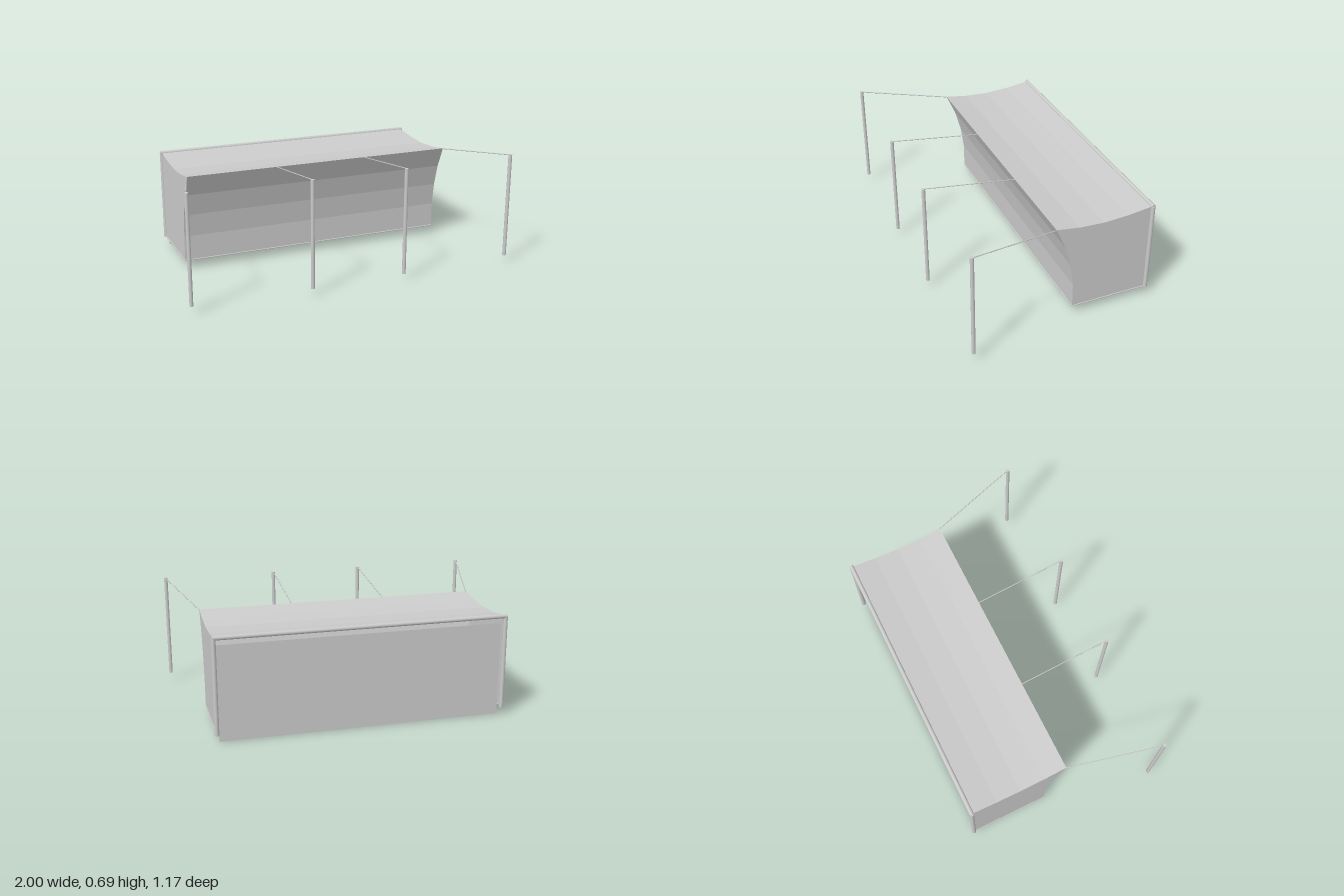
import * as THREE from 'three';

const smooth = new THREE.MeshStandardMaterial({ color: 0xcccccc });
const cloth = new THREE.MeshStandardMaterial({ color: 0xcccccc, flatShading: true, side: THREE.DoubleSide });

const HALF = 0.845;    // half width of the goal
const BACK = -0.574;   // plane of the posts
const BASE = 0.048;    // foot of posts and net

// Net outline as [z, y]
const roof = [[BACK, 0.61], [-0.42, 0.59], [-0.27, 0.581], [-0.12, 0.589], [0.02, 0.61]];
const drop = [[0.02, 0.61], [-0.038, 0.48], [-0.076, 0.345], [-0.096, 0.205], [-0.098, BASE]];

export function createModel() {
  const group = new THREE.Group();

  const add = (name, geometry, material) => {
    const mesh = new THREE.Mesh(geometry, material);
    mesh.name = name;
    group.add(mesh);
    return mesh;
  };

  // Round bar between two points
  const bar = (name, from, to, radius, sides = 12) => {
    const a = new THREE.Vector3(...from), b = new THREE.Vector3(...to);
    const dir = b.clone().sub(a);
    const mesh = add(name, new THREE.CylinderGeometry(radius, radius, dir.length(), sides), smooth);
    mesh.position.copy(a).add(b).multiplyScalar(0.5);
    mesh.quaternion.setFromUnitVectors(new THREE.Vector3(0, 1, 0), dir.normalize());
    return mesh;
  };

  // Sheet swept across the width along a profile
  const sheet = (name, profile) => {
    const geometry = new THREE.PlaneGeometry(1, 1, 1, profile.length - 1);
    const pos = geometry.attributes.position;
    profile.forEach(([z, y], i) => {
      pos.setXYZ(i * 2, -HALF, y, z);
      pos.setXYZ(i * 2 + 1, HALF, y, z);
    });
    geometry.computeVertexNormals();
    add(name, geometry, cloth);
  };

  // Net roof and hanging net
  sheet('netRoof', roof);
  sheet('netDrop', drop);

  // Net sides, closed by the same outline
  const outline = [...roof, ...drop.slice(1), [BACK, BASE]];
  const sideShape = new THREE.Shape(outline.map(([z, y]) => new THREE.Vector2(-z, y)));
  for (const s of [-1, 1]) {
    const side = add('netSide', new THREE.ShapeGeometry(sideShape), cloth);
    side.rotation.y = Math.PI / 2;
    side.position.x = s * HALF;
  }

  // Panel hung across the goal mouth
  const panel = add('mouthPanel', new THREE.PlaneGeometry(1.66, 0.56), cloth);
  panel.position.set(0, 0.28, -0.55);

  // Crossbar
  bar('crossbar', [-HALF - 0.007, 0.608, BACK], [HALF + 0.007, 0.608, BACK], 0.013);

  // Posts, ground bars, guy poles and ropes, mirrored
  for (const s of [-1, 1]) {
    const x = s * HALF;
    bar('goalPost', [x, BASE, BACK], [x, 0.61, BACK], 0.013);
    bar('groundBar', [x, BASE + 0.004, BACK], [x, BASE + 0.004, -0.098], 0.004, 8);

    bar('outerPole', [s * 0.988, 0.05, 0.562], [s * 0.988, 0.688, 0.562], 0.011);
    bar('outerRope', [x, 0.608, 0.02], [s * 0.988, 0.684, 0.555], 0.003, 6);

    bar('innerPole', [s * 0.288, 0.042, 0.575], [s * 0.288, 0.682, 0.575], 0.011);
    bar('innerRope', [s * 0.288, 0.608, 0.02], [s * 0.288, 0.68, 0.57], 0.003, 6);
  }
  bar('rearGroundBar', [-HALF, BASE + 0.004, -0.098], [HALF, BASE + 0.004, -0.098], 0.004, 8);

  return group;
}
